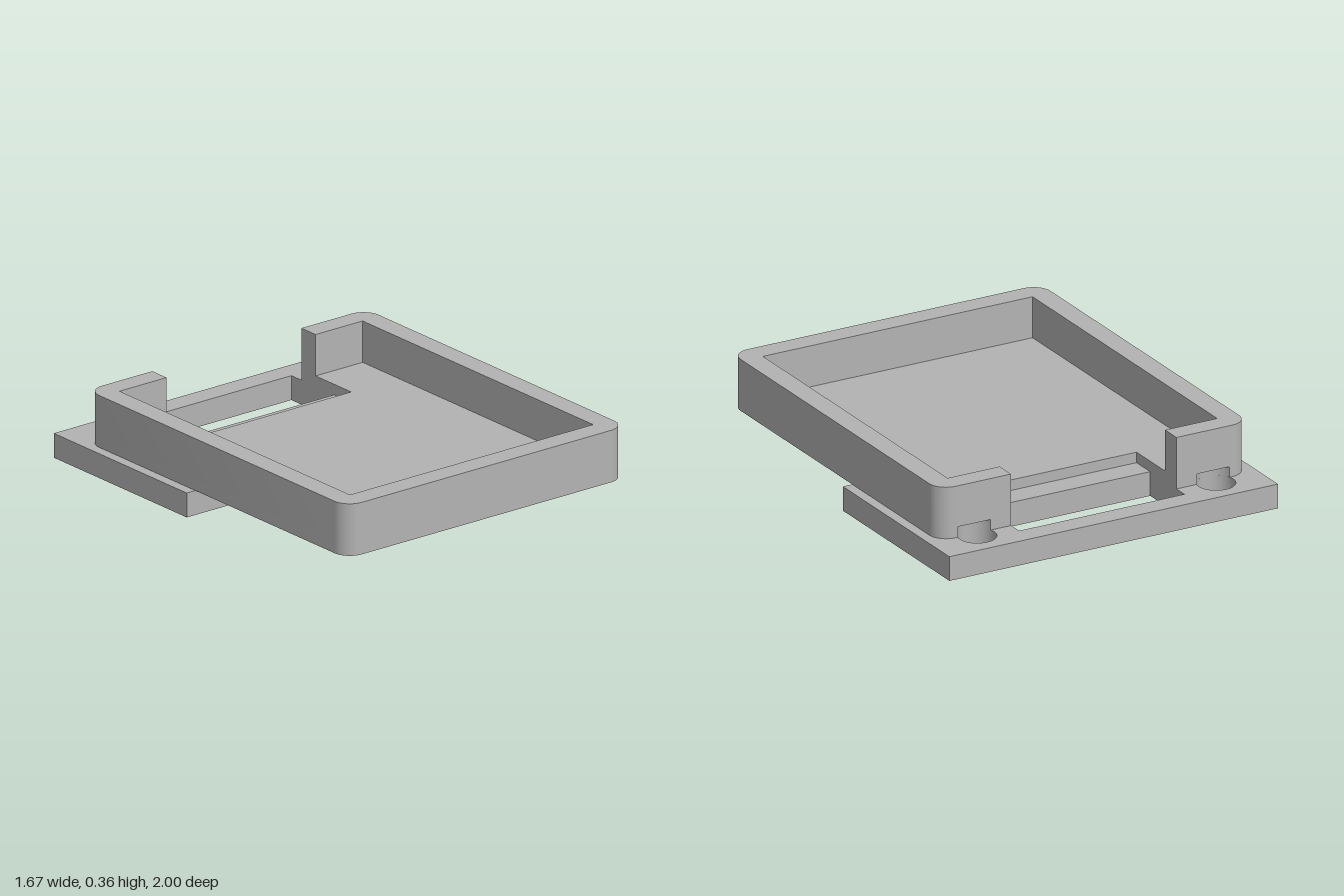
import * as THREE from 'three';
import { toCreasedNormals } from 'three/addons/utils/BufferGeometryUtils.js';

const PLATE_TOP = 0.115, FLOOR_TOP = 0.165, RIM_TOP = 0.36;
const HALF = 0.787, BACK = 0.825, FRONT = -1, RADIUS = 0.085; // tray outline, shape y = -z
const SLOT = 0.42;                                            // half width of the connector slot
const HOLE = { x: 0.607, y: 0.85, r: 0.087 };

// Extrude a plan shape upwards between two heights
function slab(name, shape, bottom, top, material) {
  const extruded = new THREE.ExtrudeGeometry(shape, { depth: top - bottom, bevelEnabled: false, curveSegments: 20 });
  extruded.rotateX(-Math.PI / 2).translate(0, bottom, 0);
  const mesh = new THREE.Mesh(toCreasedNormals(extruded, 0.6), material);
  mesh.name = name;
  return mesh;
}

// Rounded tray outline; backEdge draws everything along the back side
function trayOutline(backEdge) {
  const s = new THREE.Shape();
  const x = HALF - RADIUS, f = FRONT + RADIUS, b = BACK - RADIUS;
  s.moveTo(-x, FRONT);
  s.lineTo(x, FRONT);
  s.absarc(x, f, RADIUS, -Math.PI / 2, 0, false);
  s.lineTo(HALF, b);
  s.absarc(x, b, RADIUS, 0, Math.PI / 2, false);
  backEdge(s);
  s.lineTo(-x, BACK);
  s.absarc(-x, b, RADIUS, Math.PI / 2, Math.PI, false);
  s.lineTo(-HALF, f);
  s.absarc(-x, f, RADIUS, Math.PI, Math.PI * 1.5, false);
  return s;
}

const lines = (path, points) => points.forEach(([x, y]) => path.lineTo(x, y));

function rectangle(PathType, x, y0, y1) {
  const p = new PathType();
  p.moveTo(-x, y0);
  lines(p, [[x, y0], [x, y1], [-x, y1]]);
  p.closePath();
  return p;
}

export function createModel() {
  const group = new THREE.Group();
  group.name = 'mountedTray';
  const grey = new THREE.MeshStandardMaterial({ color: 0xb3b3b3 });
  grey.name = 'grey';

  // Mounting plate with window and two screw holes
  const plate = rectangle(THREE.Shape, 0.835, 0.065, 1);
  plate.holes.push(rectangle(THREE.Path, SLOT, 0.595, 0.895));
  for (const side of [-1, 1]) {
    const hole = new THREE.Path();
    hole.absarc(side * HOLE.x, HOLE.y, HOLE.r, 0, Math.PI * 2, true);
    plate.holes.push(hole);
  }
  group.add(slab('mountingPlate', plate, 0, PLATE_TOP, grey));

  // Tray floor, cut by the slot and clearance for the screw holes
  const a = Math.asin((HOLE.y - BACK) / HOLE.r);
  const floor = trayOutline((s) => {
    s.absarc(HOLE.x, HOLE.y, HOLE.r, -a, a - Math.PI, true);
    lines(s, [[SLOT, BACK], [SLOT, 0.475], [-SLOT, 0.475], [-SLOT, BACK]]);
    s.absarc(-HOLE.x, HOLE.y, HOLE.r, -a, a - Math.PI, true);
  });
  group.add(slab('trayFloor', floor, PLATE_TOP, FLOOR_TOP, grey));

  // Tray wall, open at the slot
  const wall = trayOutline((s) => lines(s, [
    [SLOT, BACK], [SLOT, 0.725], [0.685, 0.725], [0.685, -0.895],
    [-0.685, -0.895], [-0.685, 0.725], [-SLOT, 0.725], [-SLOT, BACK],
  ]));
  group.add(slab('trayWall', wall, FLOOR_TOP, RIM_TOP, grey));

  return group;
}
